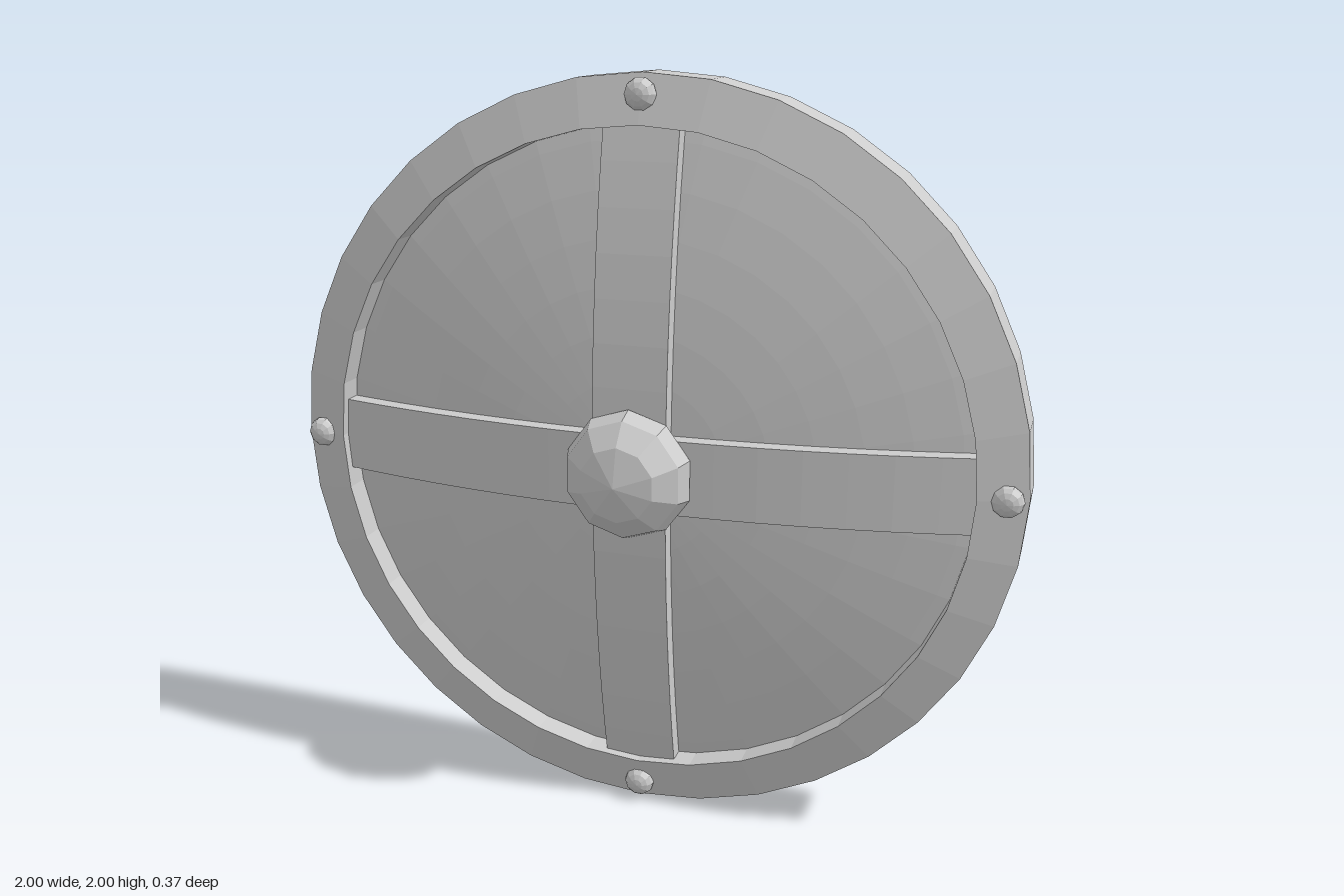
import * as THREE from 'three';

const material = new THREE.MeshStandardMaterial({ color: 0xcccccc, flatShading: true });
const SIDES = 36;

// Height of a shallow spherical cap at distance r from the centre
const cap = (r, top, R) => top - R + Math.sqrt(R * R - r * r);

function addMesh(parent, name, geometry) {
  const mesh = new THREE.Mesh(geometry, material);
  mesh.name = name;
  parent.add(mesh);
  return mesh;
}

// Lathe of [radius, depth] points about the forward axis
function forwardLathe(points, sides) {
  const profile = points.map(([r, z]) => new THREE.Vector2(r, z));
  return new THREE.LatheGeometry(profile, sides).rotateX(Math.PI / 2);
}

// Curved strap of the given half length, following the dome
function strapGeometry(halfLength, width, top, bottom, R) {
  const steps = 16;
  const shape = new THREE.Shape();
  for (let i = 0; i <= steps; i++) {
    const x = -halfLength + (2 * halfLength * i) / steps;
    if (i === 0) shape.moveTo(x, cap(x, bottom, R));
    else shape.lineTo(x, cap(x, bottom, R));
  }
  for (let i = steps; i >= 0; i--) {
    const x = -halfLength + (2 * halfLength * i) / steps;
    shape.lineTo(x, cap(x, top, R));
  }
  return new THREE.ExtrudeGeometry(shape, { depth: width, bevelEnabled: false })
    .translate(0, 0, -width / 2)
    .rotateX(Math.PI / 2);
}

export function createModel() {
  const model = new THREE.Group();
  const shield = new THREE.Group();
  shield.name = 'shield';
  shield.position.y = 1;
  model.add(shield);

  // Domed board: hollow back from centre to edge, then the front back to centre
  const board = [];
  const rings = 8;
  const edge = 0.96;
  for (let i = 0; i <= rings; i++) {
    const r = (edge * i) / rings;
    board.push([r, cap(r, -0.05, 3.6)]);
  }
  for (let i = rings; i >= 0; i--) {
    const r = (edge * i) / rings;
    board.push([r, cap(r, 0.02, 3.8)]);
  }
  addMesh(shield, 'board', forwardLathe(board, SIDES));

  // Rim hoop with a slightly sloping front face
  addMesh(shield, 'rim', forwardLathe([
    [0.96, -0.18], [1, -0.18], [1, -0.047], [0.875, -0.01], [0.875, -0.1], [0.96, -0.11], [0.96, -0.18],
  ], SIDES));

  // Crossed straps
  const strap = strapGeometry(0.9, 0.2, 0.065, 0, 3.8);
  addMesh(shield, 'horizontalStrap', strap);
  addMesh(shield, 'verticalStrap', strap).rotation.z = Math.PI / 2;

  // Faceted central boss
  addMesh(shield, 'boss', forwardLathe([
    [0.14, 0], [0.174, 0.065], [0.157, 0.115], [0.1, 0.163], [0, 0.19],
  ], 10));

  // Four rivets on the rim
  for (let i = 0; i < 4; i++) {
    const angle = (i * Math.PI) / 2;
    const rivet = addMesh(shield, 'rivet', new THREE.SphereGeometry(0.042, 10, 8).rotateX(Math.PI / 2));
    rivet.scale.z = 0.75;
    rivet.position.set(0.948 * Math.cos(angle), 0.948 * Math.sin(angle), -0.03);
  }

  return model;
}
